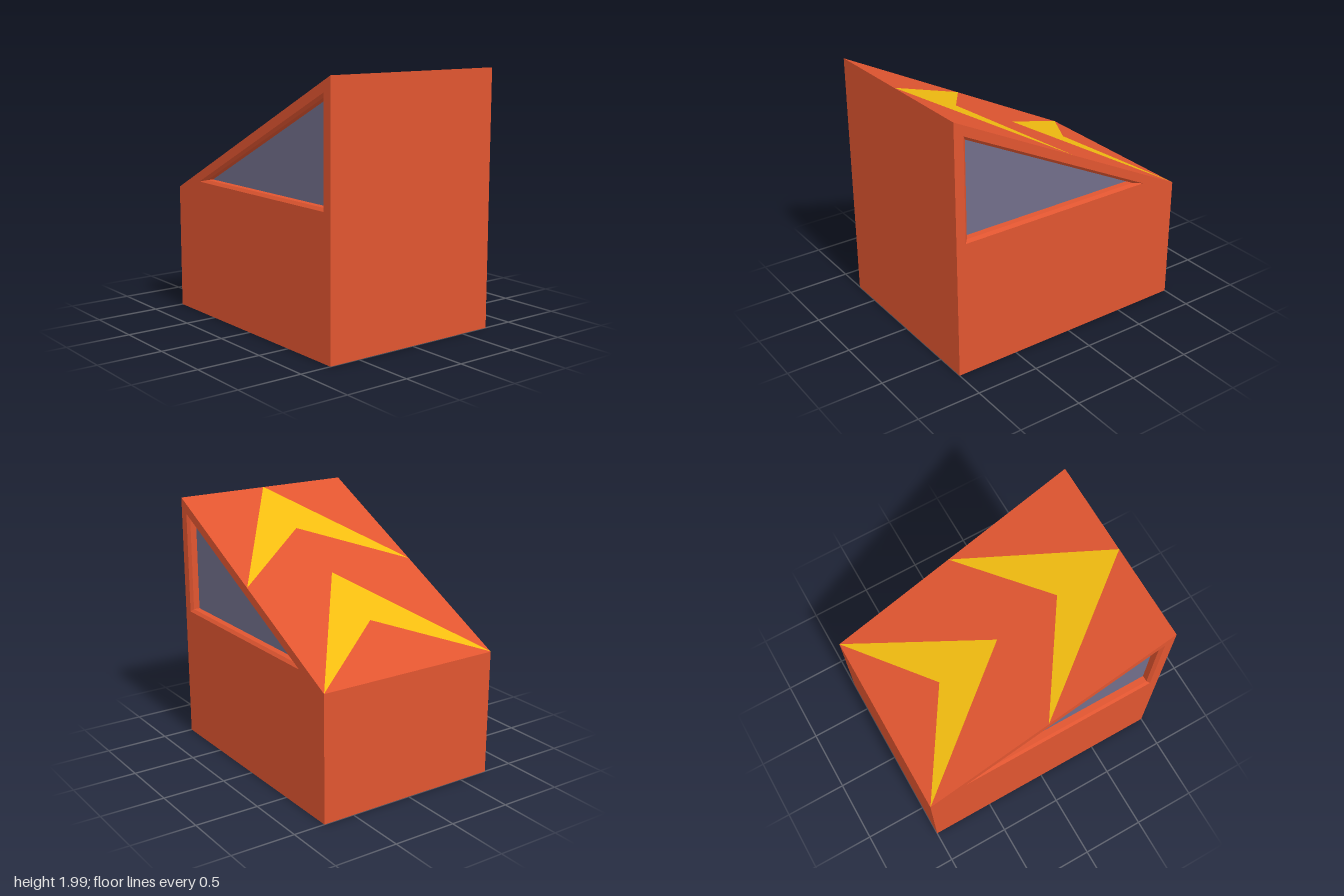
import * as THREE from 'three';

const W = 0.75, LOW = 0.985, HIGH = 1.985;
const roofY = z => LOW + (z + 1) * 0.5;

// Flat polygons (convex loops, counter-clockwise from outside) as one geometry
function polygons(loops) {
  const pos = [];
  for (const p of loops)
    for (let i = 1; i < p.length - 1; i++) pos.push(...p[0], ...p[i], ...p[i + 1]);
  const g = new THREE.BufferGeometry();
  g.setAttribute('position', new THREE.Float32BufferAttribute(pos, 3));
  g.computeVertexNormals();
  return g;
}

// Mirrored copy across x = 0, with winding reversed
function mirrored(geometry) {
  const g = geometry.index ? geometry.toNonIndexed() : geometry.clone();
  g.scale(-1, 1, 1);
  const p = g.attributes.position;
  const a = new THREE.Vector3(), b = new THREE.Vector3();
  for (let i = 0; i < p.count; i += 3) {
    a.fromBufferAttribute(p, i + 1);
    b.fromBufferAttribute(p, i + 2);
    p.setXYZ(i + 1, b.x, b.y, b.z);
    p.setXYZ(i + 2, a.x, a.y, a.z);
  }
  g.computeVertexNormals();
  return g;
}

export function createModel() {
  const group = new THREE.Group();
  const red = new THREE.MeshStandardMaterial({ color: 0xe05530, flatShading: true });
  const yellow = new THREE.MeshStandardMaterial({ color: 0xf2bc10, side: THREE.DoubleSide });
  const glass = new THREE.MeshStandardMaterial({ color: 0x716e8a });

  const add = (name, geometry, material) => {
    const mesh = new THREE.Mesh(geometry, material);
    mesh.name = name;
    group.add(mesh);
  };
  const addPair = (name, geometry, material) => {
    add(name + 'Left', geometry, material);
    add(name + 'Right', mirrored(geometry), material);
  };

  // Front, back, floor and sloping roof
  add('shell', polygons([
    [[-W, 0, 1], [W, 0, 1], [W, HIGH, 1], [-W, HIGH, 1]],
    [[W, 0, -1], [-W, 0, -1], [-W, LOW, -1], [W, LOW, -1]],
    [[-W, 0, -1], [W, 0, -1], [W, 0, 1], [-W, 0, 1]],
    [[-W, HIGH, 1], [W, HIGH, 1], [W, LOW, -1], [-W, LOW, -1]],
  ]), red);

  // Triangular window outlines as [z, y]
  const outer = [[0.925, 1.065], [-0.69, 1.065], [0.925, 1.868]];
  const inner = [[0.902, 1.087], [-0.598, 1.087], [0.902, 1.833]];

  // Side walls with the window opening
  const wall = new THREE.Shape([[-1, 0], [1, 0], [1, LOW], [-1, HIGH]].map(p => new THREE.Vector2(...p)));
  wall.holes.push(new THREE.Path(outer.map(([z, y]) => new THREE.Vector2(-z, y))));
  addPair('sideWall', new THREE.ShapeGeometry(wall).rotateY(Math.PI / 2).translate(W, 0, 0), red);

  // Bevelled, recessed window frame
  const ring = (outline, depth) => outline.map(([z, y]) => [W - depth, y, z]);
  const rings = [ring(outer, 0), ring(inner, 0.02), ring(inner, 0.07)];
  const frame = [];
  for (let r = 0; r < 2; r++)
    for (let i = 0; i < 3; i++) {
      const j = (i + 1) % 3;
      frame.push([rings[r][i], rings[r][j], rings[r + 1][j], rings[r + 1][i]]);
    }
  addPair('windowFrame', polygons(frame), red);
  addPair('windowPane', polygons([rings[2]]), glass);

  // Two chevrons lying on the roof
  for (const [name, z0] of [['rearChevron', -1], ['frontChevron', 0]]) {
    const at = (x, z) => [x, roofY(z0 + z) + 0.002, z0 + z];
    add(name, polygons([
      [at(-W, 0), at(0, 1), at(0, 0.5)],
      [at(0, 0.5), at(0, 1), at(W, 0)],
    ]), yellow);
  }
  return group;
}
